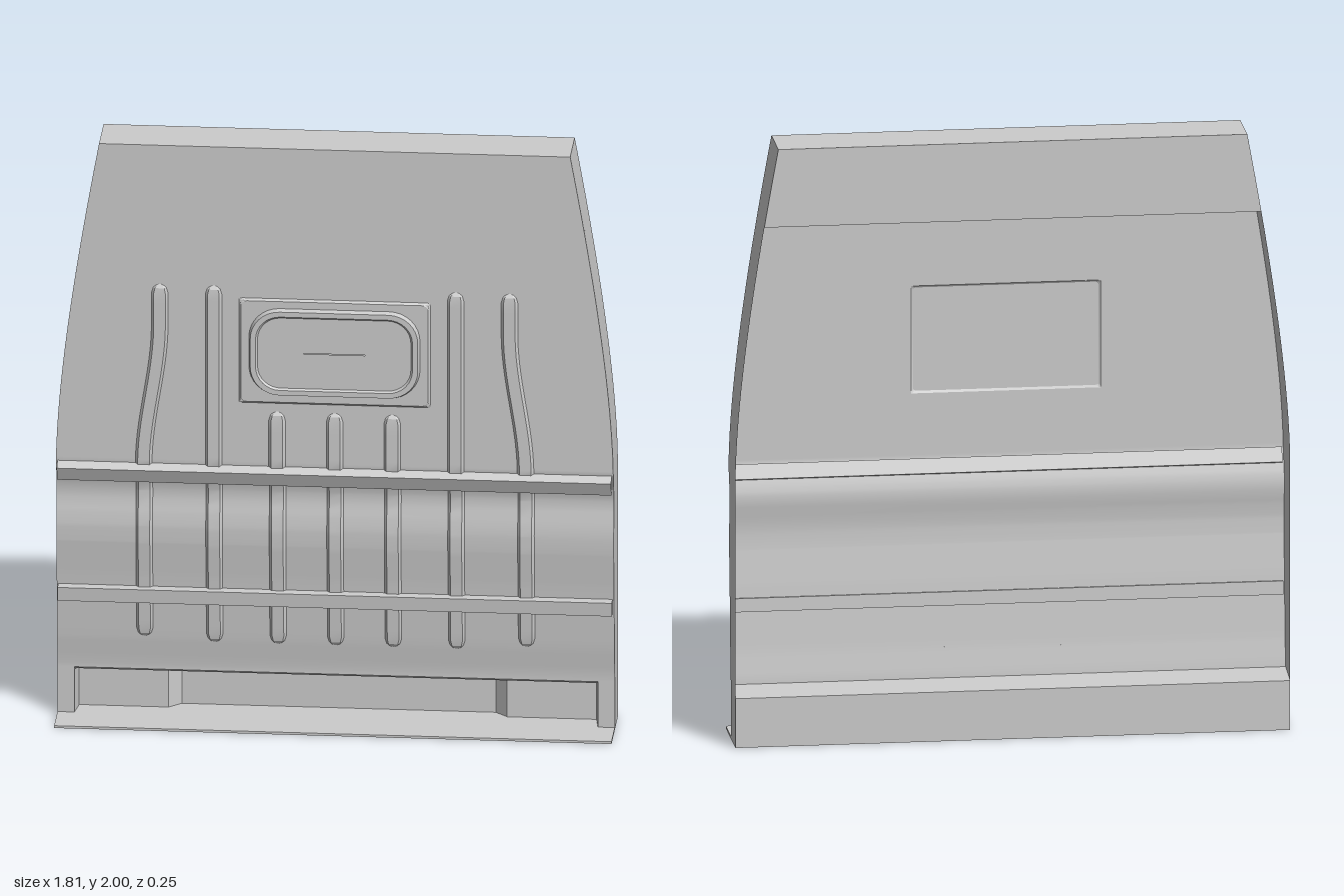
import * as THREE from 'three';
import { toCreasedNormals } from 'three/addons/utils/BufferGeometryUtils.js';

const BACK = -0.12, OPEN_TOP = 1.74, OPEN_BOTTOM = 0.165, SILL = 0.18;

// Front face depth by height: [y, z]
const PROFILE = [[0, 0], [0.18, 0], [0.28, 0.013], [0.5, 0.03], [0.62, 0.043], [0.68, 0.044], [0.73, 0.038],
  [0.765, 0.031], [0.8, 0.03], [0.83, 0.036], [0.86, 0.047], [0.9, 0.06], [2, 0.06]];

function depthAt(y) {
  for (let i = 1; i < PROFILE.length; i++) {
    const [y0, z0] = PROFILE[i - 1], [y1, z1] = PROFILE[i];
    if (y <= y1) return z0 + (z1 - z0) * (y - y0) / (y1 - y0);
  }
  return 0.06;
}

// Half width by height: straight below, curving inwards towards the top
const edge = new THREE.QuadraticBezierCurve(
  new THREE.Vector2(0.905, 0.9), new THREE.Vector2(0.9, 1.27), new THREE.Vector2(0.765, 2)).getPoints(60);
function widthAt(y) {
  if (y <= 0.9) return 0.905;
  for (let i = 1; i < edge.length; i++) {
    const a = edge[i - 1], b = edge[i];
    if (y <= b.y) return a.x + (b.x - a.x) * (y - a.y) / (b.y - a.y);
  }
  return 0.765;
}

// Heights between two limits, including every profile knot
function heights(y0, y1, step = 0.05) {
  const list = [y0, y1, ...PROFILE.map(p => p[0]).filter(y => y > y0 && y < y1)];
  for (let y = y0 + step; y < y1 - 0.01; y += step) list.push(y);
  return list.sort((a, b) => a - b).filter((y, i, l) => i === 0 || y - l[i - 1] > 1e-6);
}

const material = new THREE.MeshStandardMaterial({ color: 0xcccccc, side: THREE.DoubleSide });

function add(group, name, geometry) {
  const mesh = new THREE.Mesh(geometry, material);
  mesh.name = name;
  group.add(mesh);
  return mesh;
}

// Surface through rows of points
function sheet(group, name, rows, crease = 0.5) {
  const n = rows[0].length, index = [];
  for (let r = 0; r < rows.length - 1; r++) {
    for (let c = 0; c < n - 1; c++) {
      const a = r * n + c, b = a + 1, d = a + n, e = d + 1;
      index.push(a, b, e, a, e, d);
    }
  }
  const g = new THREE.BufferGeometry();
  g.setAttribute('position', new THREE.Float32BufferAttribute(rows.flat(2), 3));
  g.setIndex(index);
  return add(group, name, toCreasedNormals(g, crease));
}

// Part of the front skin between two heights and two side limits
function skin(group, y0, y1, left, right) {
  sheet(group, 'panelSkin', heights(y0, y1).map(y => [left(y), right(y)].map(x => [x, y, depthAt(y)])));
}

// Pressed rib that follows the skin, with rounded ends
function rib(group, y0, y1, centre) {
  const half = 0.027, h = 0.009, end = 0.03;
  const ys = [y0 + 0.004, y0 + 0.012, ...heights(y0 + end, y1 - end, 0.03), y1 - 0.012, y1 - 0.004];
  const row = (y, w, lift) => [[-w, 0], [-w + w * 0.3, lift], [w - w * 0.3, lift], [w, 0]]
    .map(([x, z]) => [centre(y) + x, y, depthAt(y) + z]);
  const rows = ys.map(y => {
    const d = Math.min(1, (y - y0) / end, (y1 - y) / end);
    const w = half * Math.sqrt(1 - (1 - d) ** 2);
    return row(y, w, h * Math.min(1, d * 2));
  });
  sheet(group, 'pressedRib', [row(y0, 0.004, 0), ...rows, row(y1, 0.004, 0)], 0.4);
}

function roundedLoop(hx, hy, r, z, cy) {
  const points = [];
  [[1, 1], [-1, 1], [-1, -1], [1, -1]].forEach(([sx, sy], q) => {
    for (let i = 0; i <= 8; i++) {
      const a = (q + i / 8) * Math.PI / 2;
      points.push([sx * (hx - r) + r * Math.cos(a), cy + sy * (hy - r) + r * Math.sin(a), z]);
    }
  });
  points.push(points[0]);
  return points;
}

// Rail with a four-cornered [z, y] section
function rail(group, name, corners) {
  const shape = new THREE.Shape(corners.map(([z, y]) => new THREE.Vector2(-z, y)));
  const g = new THREE.ExtrudeGeometry(shape, { depth: 1.8, bevelEnabled: false });
  g.rotateY(Math.PI / 2).translate(-0.9, 0, 0);
  add(group, name, g);
}

export function createModel() {
  const group = new THREE.Group();
  group.name = 'partitionPanel';

  // Front skin, leaving gaps for the window and the foot recess
  const wy0 = 1.12, wy1 = 1.48, wx = 0.31, rx = 0.85, ry = 0.165;
  const L = y => -widthAt(y), R = widthAt;
  skin(group, 0, ry, L, () => -rx);
  skin(group, 0, ry, () => rx, R);
  skin(group, ry, wy0, L, R);
  skin(group, wy0, wy1, L, () => -wx);
  skin(group, wy0, wy1, () => wx, R);
  skin(group, wy1, 2, L, R);

  // Side flanges
  for (const s of [-1, 1]) {
    sheet(group, 'sideFlange', heights(0, 2).map(y =>
      [[s * widthAt(y), y, depthAt(y)], [s * widthAt(y), y, BACK]]));
  }

  // Hollow header beam and sill, each a strip folded around the back
  const across = (y, z) => [[-widthAt(y), y, z], [widthAt(y), y, z]];
  const beamBack = heights(OPEN_TOP, 2).map(y => across(y, BACK));
  sheet(group, 'headerBeam', [across(OPEN_TOP, 0.06), ...beamBack, across(2, 0.06)]);
  sheet(group, 'sillBeam', [across(0, BACK), across(OPEN_BOTTOM, BACK), across(SILL, 0)], 0.2);

  // Floor lip
  add(group, 'floorLip', new THREE.BoxGeometry(1.81, 0.008, 0.25).translate(0, 0.004, 0.005));

  // Foot recess, deeper in the middle
  const half = [[0.85, 0], [0.84, -0.07], [0.55, -0.07], [0.51, -0.108]];
  const plan = [...half.map(([x, z]) => [-x, z]), ...half.slice().reverse()];
  sheet(group, 'recessWall', [0.004, 0.158].map(y => plan.map(([x, z]) => [x, y, z])), 0.3);
  sheet(group, 'recessCeiling', [
    plan.map(([x, z]) => [x, 0.158, z]),
    plan.map(([x]) => [x, 0.158, -0.006]),
    plan.map(([x]) => [x, ry, 0])], 0.3);

  // Window: stepped surround, raised seal and pane
  const cy = (wy0 + wy1) / 2;
  sheet(group, 'windowSurround', [
    [0.311, 0.181, 0.012, 0.06], [0.304, 0.174, 0.02, 0.068], [0.278, 0.15, 0.1, 0.068],
    [0.272, 0.144, 0.095, 0.085], [0.255, 0.127, 0.08, 0.085], [0.249, 0.121, 0.075, 0.078],
    [0.1, 0.001, 0.0005, 0.078]].map(([hx, hy, r, z]) => roundedLoop(hx, hy, r, z, cy)), 0.4);
  add(group, 'windowBackPlate', new THREE.PlaneGeometry(0.61, 0.35).translate(0, cy, 0.066));
  sheet(group, 'windowBackEdge', [
    roundedLoop(0.31, 0.18, 0.001, 0.06, cy), roundedLoop(0.303, 0.173, 0.012, 0.066, cy)], 0.4);

  // Ribs: three short, two long, two outer ones bent inwards
  for (const x of [-0.187, 0, 0.187]) rib(group, 0.27, 1.09, () => x);
  for (const s of [-1, 1]) {
    rib(group, 0.27, 1.52, () => s * 0.393);
    rib(group, 0.285, 1.52, y => s * (0.62 - 0.052 * THREE.MathUtils.smoothstep(y, 0.9, 1.38)));
  }

  // Cross rails
  rail(group, 'upperRail', [[0.093, 0.885], [0.054, 0.903], [0.034, 0.857], [0.073, 0.838]]);
  rail(group, 'lowerRail', [[0.06, 0.46], [0.02, 0.462], [0.018, 0.417], [0.056, 0.413]]);

  return group;
}
